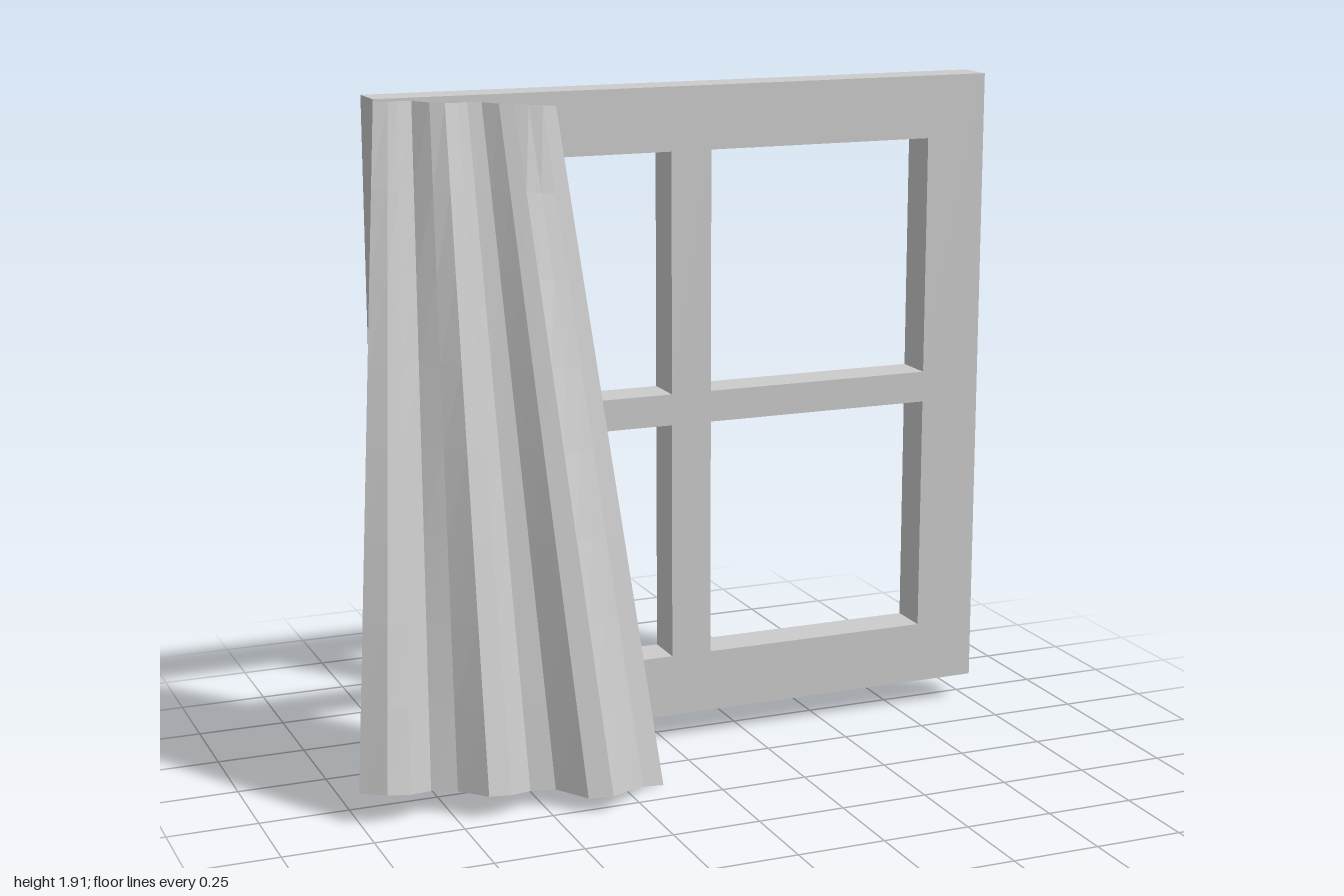
import * as THREE from 'three';

const grey = () => new THREE.MeshStandardMaterial({ color: 0xcccccc, flatShading: true });

function rect(path, x0, y0, x1, y1) {
  path.moveTo(x0, y0);
  path.lineTo(x1, y0);
  path.lineTo(x1, y1);
  path.lineTo(x0, y1);
  path.closePath();
  return path;
}

// Square frame with four panes cut out by a cross of bars
function makeWindowFrame() {
  const shape = rect(new THREE.Shape(), -0.83, 0.08, 1.0, 1.91);
  for (const [x0, x1] of [[-0.65, 0.02], [0.14, 0.82]]) {
    for (const [y0, y1] of [[0.26, 0.95], [1.04, 1.73]]) {
      shape.holes.push(rect(new THREE.Path(), x0, y0, x1, y1));
    }
  }
  const geo = new THREE.ExtrudeGeometry(shape, { depth: 0.12, bevelEnabled: false });
  geo.translate(0, 0, -0.292);
  const mesh = new THREE.Mesh(geo, grey());
  mesh.name = 'windowFrame';
  return mesh;
}

// Pleated sheet ruled between a narrow top hem and a wide, forward bottom hem
function makeCurtain() {
  const topZ = [-0.117, -0.11, -0.148, -0.15, -0.112, -0.098, -0.11, -0.145, -0.138, -0.107, -0.095, -0.085, -0.078, -0.082];
  const bottomZ = [0.11, 0.152, 0.145, 0.115, 0.145, 0.215, 0.208, 0.17, 0.19, 0.27, 0.287, 0.225, 0.167, 0.155];
  const bottomY = [0.09, 0.09, 0.08, 0.07, 0.07, 0.07, 0.062, 0.05, 0.052, 0.045, 0.047, 0.03, 0.012, 0.003];
  const columns = topZ.length - 1, rows = 8;
  const geo = new THREE.PlaneGeometry(1, 1, columns, rows);
  const pos = geo.attributes.position;
  const lower = new THREE.Vector3(), upper = new THREE.Vector3();
  for (let r = 0; r <= rows; r++) {
    for (let c = 0; c <= columns; c++) {
      const u = c / columns;
      upper.set(-0.845 + 0.495 * u, 1.91 - 0.027 * u, topZ[c]);
      lower.set(-1 + 0.86 * u, bottomY[c], bottomZ[c]);
      upper.lerp(lower, r / rows);
      pos.setXYZ(r * (columns + 1) + c, upper.x, upper.y, upper.z);
    }
  }
  geo.computeVertexNormals();
  const material = grey();
  material.side = THREE.DoubleSide;
  const mesh = new THREE.Mesh(geo, material);
  mesh.name = 'curtain';
  return mesh;
}

export function createModel() {
  const group = new THREE.Group();
  group.name = 'windowWithCurtain';
  group.add(makeWindowFrame(), makeCurtain());
  return group;
}
